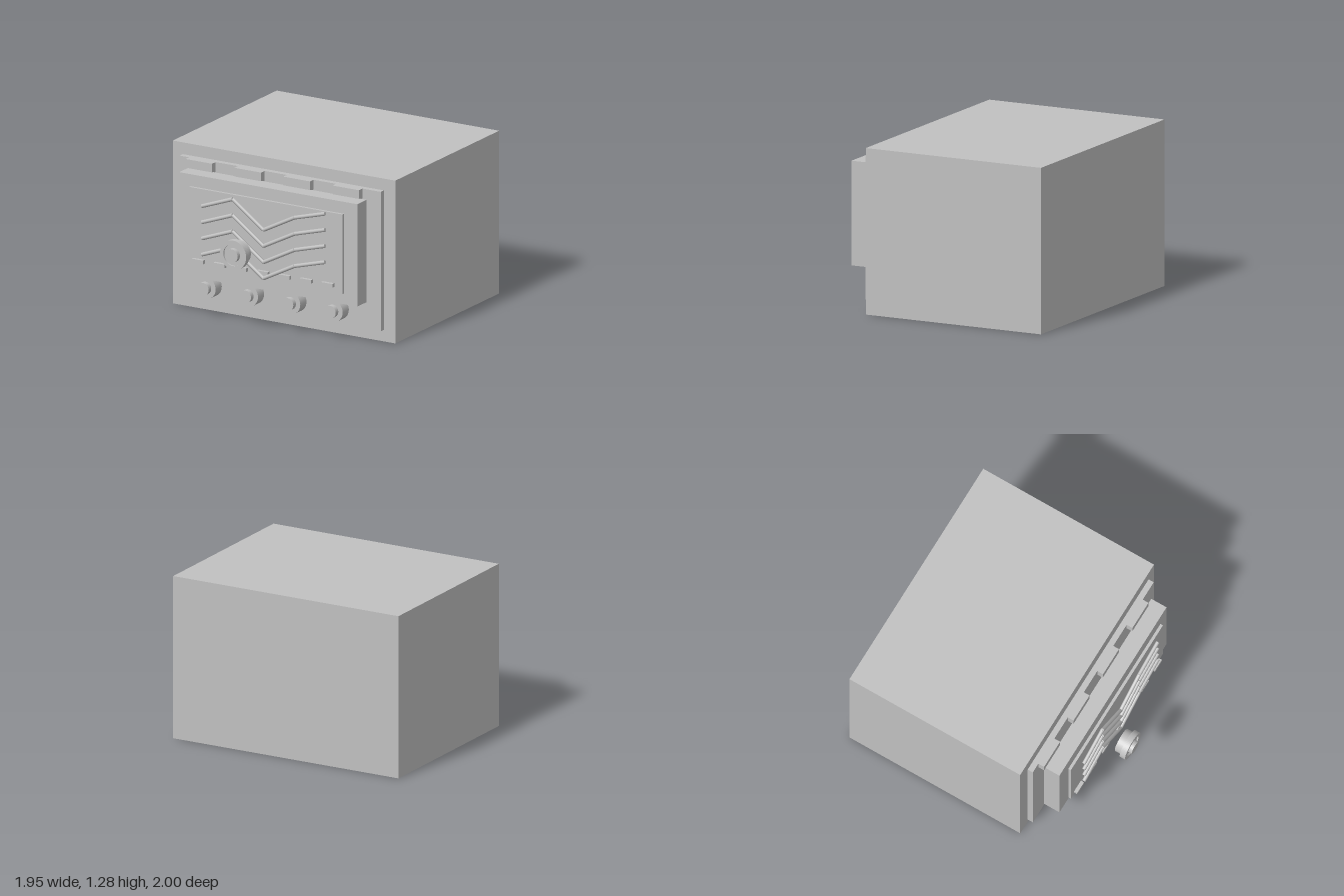
import * as THREE from 'three';

export function createModel() {
  const model = new THREE.Group();
  const grey = new THREE.MeshStandardMaterial({ color: 0xc0c0c0 });
  grey.name = 'light grey';

  function add(name, geometry, parent = model) {
    const mesh = new THREE.Mesh(geometry, grey);
    mesh.name = name;
    parent.add(mesh);
    return mesh;
  }

  // Box given by its extents on each axis
  function box(name, x0, x1, y0, y1, z0, z1) {
    const mesh = add(name, new THREE.BoxGeometry(x1 - x0, y1 - y0, z1 - z0));
    mesh.position.set((x0 + x1) / 2, (y0 + y1) / 2, (z0 + z1) / 2);
    return mesh;
  }

  // Disc facing the front, between two depths
  function disc(name, parent, radius, z0, z1) {
    const geometry = new THREE.CylinderGeometry(radius, radius, z1 - z0, 32);
    geometry.rotateX(Math.PI / 2);
    add(name, geometry, parent).position.z = (z0 + z1) / 2;
  }

  // Cabinet and stacked front panels
  box('cabinet', -0.977, 0.977, 0, 1.276, -1, 0.49);
  box('facePlate', -0.883, 0.883, 0.094, 1.187, 0.499, 0.544);
  box('door', -0.782, 0.782, 0.317, 1.119, 0.583, 0.716);
  box('doorPanel', -0.673, 0.673, 0.406, 1.03, 0.728, 0.75);

  // Blocks along the top of the door
  for (let i = 0; i < 4; i++) {
    const x = -0.685 + i * 0.43;
    box('topBlock', x - 0.117, x + 0.117, 1.111, 1.187, 0.544, 0.594);
  }

  // Small bars along the foot of the door panel
  for (let i = 0; i < 7; i++) {
    const x = -0.583 + i * 0.1895;
    box('smallBar', x - 0.05, x + 0.05, 0.453, 0.482, 0.755, 0.782);
  }

  // Four zigzag rods, each made of straight lengths
  const zigzag = [[-0.54, 0.91], [-0.271, 1.008], [0, 0.81], [0.271, 0.95], [0.54, 1.024]];
  for (let row = 0; row < 4; row++) {
    const rod = new THREE.Group();
    rod.name = 'zigzagRod';
    rod.position.set(0, -row * 0.1265, 0.784);
    model.add(rod);
    for (let i = 0; i < 4; i++) {
      const [x0, y0] = zigzag[i];
      const [x1, y1] = zigzag[i + 1];
      const geometry = new THREE.CylinderGeometry(0.015, 0.015, Math.hypot(x1 - x0, y1 - y0), 8);
      const length = add('rodLength', geometry, rod);
      length.position.set((x0 + x1) / 2, (y0 + y1) / 2, 0);
      length.rotation.z = Math.atan2(y1 - y0, x1 - x0) - Math.PI / 2;
    }
  }

  // Row of control knobs
  for (let i = 0; i < 4; i++) {
    const knob = new THREE.Group();
    knob.name = 'controlKnob';
    knob.position.set(-0.588 + i * 0.372, 0.227, 0);
    model.add(knob);
    disc('knobBase', knob, 0.087, 0.565, 0.654);
    disc('knobCap', knob, 0.049, 0.654, 0.692);
  }

  // Large dial: rear drum, raised rim and centre button
  const dial = new THREE.Group();
  dial.name = 'dial';
  dial.position.set(-0.149, 0.638, 0);
  model.add(dial);
  disc('dialDrum', dial, 0.095, 0.877, 0.965);
  disc('dialButton', dial, 0.053, 0.965, 1);
  const rimShape = new THREE.Shape().absarc(0, 0, 0.115, 0, Math.PI * 2, false);
  rimShape.holes.push(new THREE.Path().absarc(0, 0, 0.085, 0, Math.PI * 2, true));
  const rim = new THREE.ExtrudeGeometry(rimShape, { depth: 0.046, bevelEnabled: false, curveSegments: 32 });
  add('dialRim', rim, dial).position.z = 0.932;

  return model;
}
